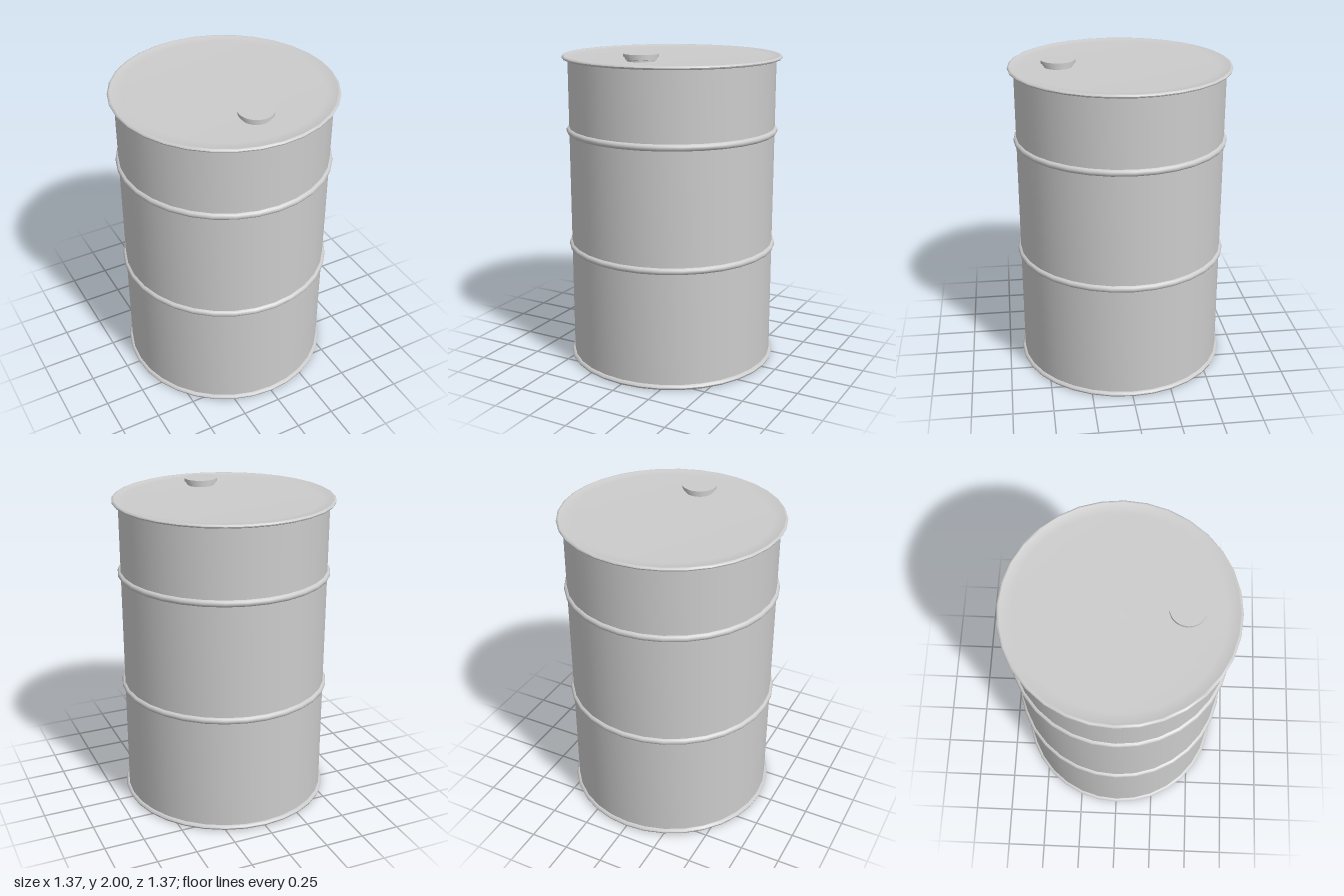
import * as THREE from 'three';
import { toCreasedNormals } from 'three/addons/utils/BufferGeometryUtils.js';

const SIDES = 32;

export function createModel() {
  const drum = new THREE.Group();
  drum.name = 'drum';
  const material = new THREE.MeshStandardMaterial({ color: 0xcccccc });

  // Revolves a profile of [radius, height] pairs, listed from the underside up and over the top
  function addTurned(name, profile, sides = SIDES) {
    const points = profile.map(([r, y]) => new THREE.Vector2(r, y));
    const geometry = toCreasedNormals(new THREE.LatheGeometry(points, sides), 0.7);
    const mesh = new THREE.Mesh(geometry, material);
    mesh.name = name;
    drum.add(mesh);
    return mesh;
  }

  // Cylindrical wall
  addTurned('body', [[0.648, 0.02], [0.648, 1.95]]);

  // Recessed floor with the rolled bottom rim around it
  addTurned('bottomRim', [
    [0, 0.03], [0.6, 0.03], [0.61, 0.003], [0.62, 0], [0.655, 0], [0.664, 0.006],
    [0.667, 0.015], [0.663, 0.024], [0.655, 0.03], [0.645, 0.03],
  ]);

  // Rolling hoops pressed out of the wall
  for (const [name, y] of [['lowerHoop', 0.757], ['upperHoop', 1.498]]) {
    const profile = [];
    for (let i = 0; i <= 8; i++) {
      const a = -Math.PI / 2 + (i / 8) * Math.PI;
      profile.push([0.645 + 0.021 * Math.cos(a), y + 0.021 * Math.sin(a)]);
    }
    addTurned(name, profile);
  }

  // Lid with its overhanging rolled edge
  addTurned('lid', [
    [0.645, 1.942], [0.674, 1.942], [0.682, 1.946], [0.685, 1.953],
    [0.682, 1.96], [0.675, 1.964], [0.668, 1.963], [0.655, 1.958], [0.6, 1.956], [0, 1.956],
  ]);

  // Filler cap: a narrow neck under a wider disc, near the front of the lid
  const cap = addTurned('fillerCap', [
    [0.085, 1.95], [0.085, 1.965], [0.094, 1.967], [0.094, 1.981],
    [0.105, 1.981], [0.105, 2], [0, 2],
  ], 48);
  cap.position.z = 0.377;

  return drum;
}
